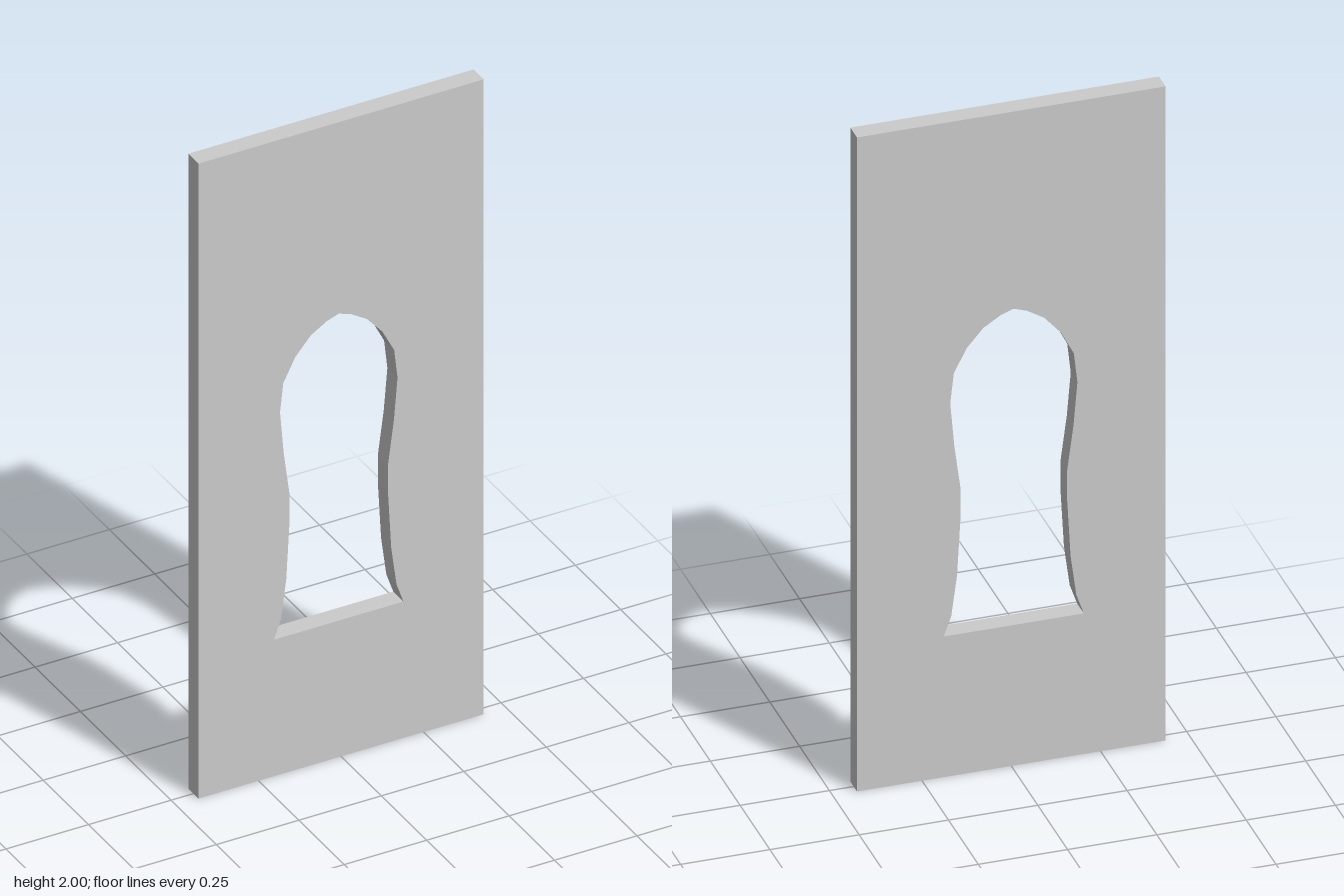
import * as THREE from 'three';

export function createModel() {
  const group = new THREE.Group();
  const width = 0.864, height = 2, depth = 0.056;

  // Rectangular plate outline
  const plate = new THREE.Shape([
    new THREE.Vector2(-width / 2, 0),
    new THREE.Vector2(width / 2, 0),
    new THREE.Vector2(width / 2, height),
    new THREE.Vector2(-width / 2, height),
  ]);

  // Keyhole opening: [half width, height] from sill to apex, mirrored about its axis
  const axis = -0.007;
  const half = [
    [0.196, 0.43], [0.175, 0.49], [0.159, 0.61], [0.149, 0.79], [0.149, 0.873], [0.167, 1.01],
    [0.178, 1.14], [0.168, 1.23], [0.132, 1.3], [0.085, 1.354], [0.037, 1.384],
  ];
  const leftSide = half.map(([w, y]) => new THREE.Vector2(axis - w, y));
  const rightSide = half.map(([w, y]) => new THREE.Vector2(axis + w, y)).reverse();
  plate.holes.push(new THREE.Path([...leftSide, new THREE.Vector2(axis, 1.397), ...rightSide]));

  // Flat slab with the opening cut through
  const geometry = new THREE.ExtrudeGeometry(plate, { depth, bevelEnabled: false });
  geometry.translate(0, 0, -depth / 2);
  const panel = new THREE.Mesh(
    geometry,
    new THREE.MeshStandardMaterial({ color: 0xcccccc, flatShading: true })
  );
  panel.name = 'keyholePlate';
  group.add(panel);
  return group;
}
